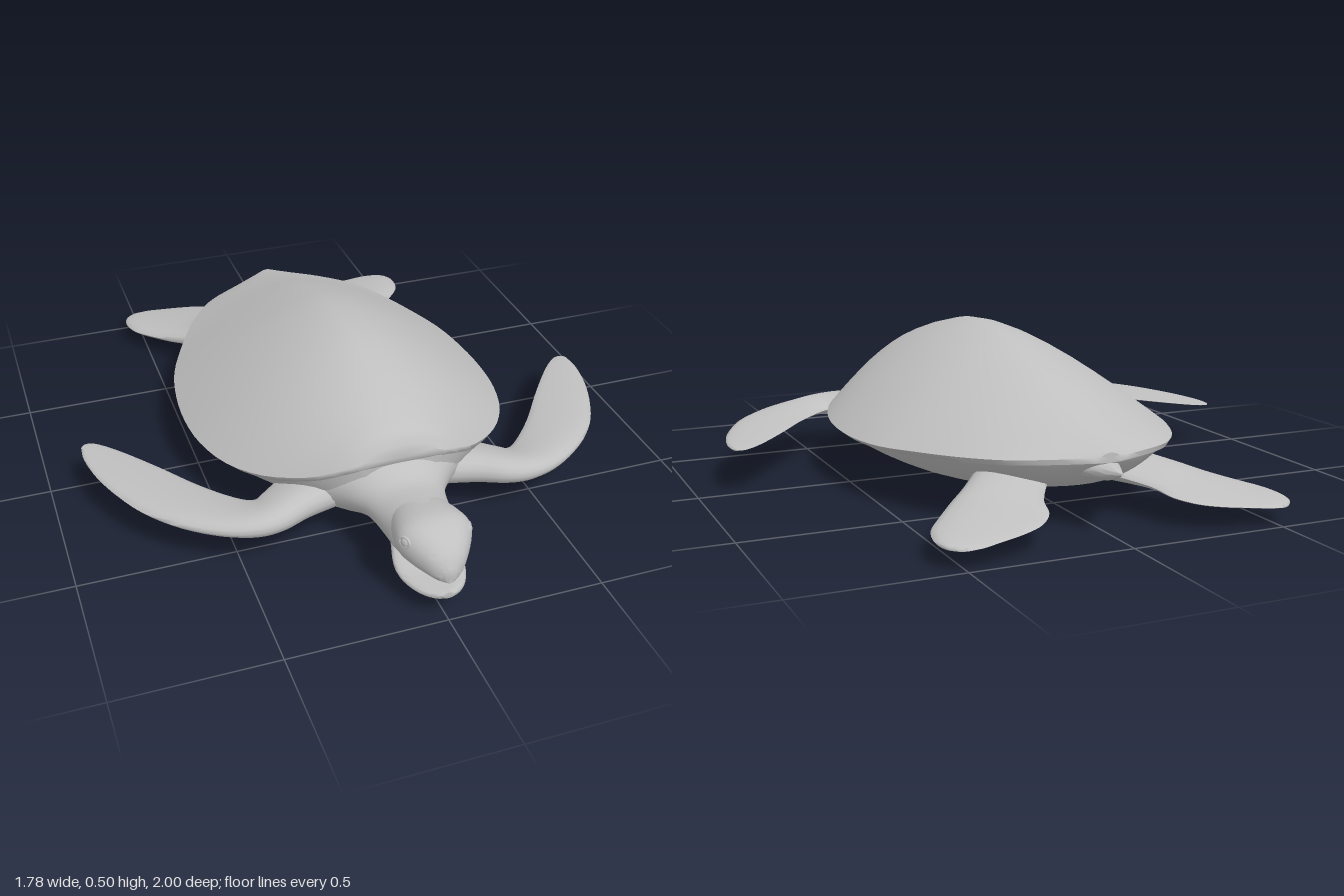
import * as THREE from 'three';
import { toCreasedNormals } from 'three/addons/utils/BufferGeometryUtils.js';

const grey = new THREE.MeshStandardMaterial({ color: 0xc0c0c0 });
grey.name = 'grey';

// Fill in rows between stations with a Catmull-Rom curve on every column
function densify(rows, steps) {
  const out = [];
  const last = rows.length - 1;
  for (let i = 0; i < last; i++) {
    const [a, b, c, d] = [rows[Math.max(i - 1, 0)], rows[i], rows[i + 1], rows[Math.min(i + 2, last)]];
    for (let s = 0; s < steps; s++) {
      const t = s / steps;
      out.push(b.map((p, k) => p + 0.5 * t * (c[k] - a[k]
        + t * (2 * a[k] - 5 * p + 4 * c[k] - d[k] + t * (3 * (p - c[k]) + d[k] - a[k])))));
    }
  }
  out.push(rows[last]);
  return out;
}

// Closed skin over equal-length rings of [x, y, z], capped and turned outward
function loft(rings, crease = 0.9) {
  const n = rings[0].length;
  const pos = rings.flat();
  const index = [];
  for (let r = 0; r < rings.length - 1; r++) {
    for (let i = 0; i < n; i++) {
      const a = r * n + i, b = r * n + (i + 1) % n;
      index.push(a, b, a + n, b, b + n, a + n);
    }
  }
  [0, rings.length - 1].forEach((r) => {
    const centre = pos.length;
    pos.push([0, 1, 2].map((k) => rings[r].reduce((sum, p) => sum + p[k], 0) / n));
    for (let i = 0; i < n; i++) {
      const a = r * n + i, b = r * n + (i + 1) % n;
      if (r === 0) index.push(centre, b, a);
      else index.push(centre, a, b);
    }
  });
  let volume = 0;
  const v = pos.map((p) => new THREE.Vector3(...p));
  for (let i = 0; i < index.length; i += 3) {
    volume += v[index[i]].dot(v[index[i + 1]].clone().cross(v[index[i + 2]]));
  }
  if (volume < 0) index.reverse();
  const geo = new THREE.BufferGeometry();
  geo.setAttribute('position', new THREE.Float32BufferAttribute(pos.flat(), 3));
  geo.setIndex(index);
  return toCreasedNormals(geo, crease);
}

function ring(count, fn) {
  return Array.from({ length: count }, (_, i) => fn((i / count) * Math.PI * 2));
}

// Rounded sections along z: [z, halfWidth, top, bottom]
function tubeLoft(rows, power = 0.85) {
  const bend = (c) => Math.sign(c) * Math.abs(c) ** power;
  return loft(densify(rows, 4).map(([z, w, top, bottom]) => ring(28, (t) => [
    w * bend(Math.cos(t)), (top + bottom) / 2 + ((top - bottom) / 2) * bend(Math.sin(t)), z])));
}

// Flat fin sections: [leadX, leadZ, trailX, trailZ, y, thickness]
function finLoft(rows, side) {
  return loft(densify(rows, 4).map(([lx, lz, tx, tz, y, th]) => ring(20, (t) => {
    const c = Math.cos(t);
    return [side * ((lx + tx) / 2 + c * (lx - tx) / 2),
      y + (th / 2) * Math.sin(t) * (1 + 0.45 * c), (lz + tz) / 2 + c * (lz - tz) / 2];
  })), 1.2);
}

// Shell stations: [z, halfWidth, rim, top, bottom, doming]
const SHELL = densify([
  [0.605, 0.13, 0.315, 0.345, 0.11, 2.4],
  [0.58, 0.2, 0.29, 0.385, 0.085, 2.3],
  [0.53, 0.28, 0.255, 0.412, 0.06, 2.1],
  [0.43, 0.39, 0.22, 0.447, 0.035, 1.9],
  [0.3, 0.475, 0.2, 0.482, 0.015, 1.7],
  [0.15, 0.522, 0.19, 0.506, 0.004, 1.55],
  [0, 0.537, 0.185, 0.505, 0.006, 1.5],
  [-0.15, 0.53, 0.185, 0.482, 0.015, 1.5],
  [-0.3, 0.502, 0.19, 0.44, 0.028, 1.5],
  [-0.45, 0.44, 0.2, 0.39, 0.05, 1.5],
  [-0.6, 0.362, 0.21, 0.33, 0.085, 1.55],
  [-0.72, 0.265, 0.218, 0.286, 0.12, 1.6],
  [-0.8, 0.135, 0.225, 0.26, 0.17, 1.7],
  [-0.855, 0.035, 0.232, 0.245, 0.21, 1.8],
], 3);

const FRONT_FIN = [
  [0.12, 0.53, 0.18, 0.3, 0.16, 0.11],
  [0.27, 0.57, 0.32, 0.38, 0.157, 0.09],
  [0.37, 0.612, 0.4, 0.44, 0.155, 0.075],
  [0.46, 0.618, 0.43, 0.455, 0.152, 0.065],
  [0.56, 0.585, 0.48, 0.42, 0.15, 0.052],
  [0.67, 0.51, 0.57, 0.32, 0.15, 0.042],
  [0.76, 0.41, 0.66, 0.195, 0.15, 0.032],
  [0.82, 0.3, 0.74, 0.09, 0.15, 0.024],
  [0.865, 0.18, 0.8, 0.02, 0.15, 0.016],
  [0.887, 0.07, 0.845, -0.018, 0.15, 0.01],
  [0.885, 0, 0.872, -0.02, 0.15, 0.005],
];

const HIND_FIN = [
  [0.25, -0.48, 0.1, -0.66, 0.125, 0.1],
  [0.36, -0.62, 0.175, -0.785, 0.108, 0.075],
  [0.43, -0.69, 0.2, -0.87, 0.094, 0.054],
  [0.49, -0.76, 0.25, -0.93, 0.083, 0.042],
  [0.54, -0.83, 0.32, -0.963, 0.075, 0.032],
  [0.56, -0.9, 0.4, -0.985, 0.069, 0.024],
  [0.553, -0.955, 0.45, -0.998, 0.065, 0.016],
  [0.525, -0.988, 0.485, -1, 0.063, 0.006],
];

export function createModel() {
  const model = new THREE.Group();
  model.name = 'seaTurtle';
  const add = (name, geo, parent = model) => {
    const mesh = new THREE.Mesh(geo, grey);
    mesh.name = name;
    parent.add(mesh);
    return mesh;
  };

  // Domed upper shell with a thin overhanging rim
  add('carapace', loft(SHELL.map(([z, w, rim, top, , e]) => ring(48, (t) => {
    const u = Math.cos(t);
    return Math.sin(t) >= -1e-6
      ? [w * u, rim + (top - rim) * (1 - Math.abs(u) ** e), z]
      : [w * u * 0.97, rim - 0.016, z];
  }))));

  // Rounded belly tucked under the rim
  add('belly', loft(SHELL.map(([z, w, rim, , bottom]) => ring(48, (t) => {
    const u = Math.cos(t);
    const rise = Math.sin(t) > 0 ? 0.01 : bottom - rim;
    return [w * u * 0.97, rim - 0.004 + (rise + 0.004) * (1 - Math.abs(u) ** 2.3), z * 0.995];
  }))));

  // Neck, skull with beak, and open lower jaw
  add('neck', tubeLoft([
    [0.42, 0.3, 0.3, 0.045], [0.52, 0.235, 0.325, 0.065], [0.58, 0.18, 0.315, 0.088],
    [0.63, 0.138, 0.28, 0.1], [0.68, 0.12, 0.265, 0.1], [0.75, 0.108, 0.27, 0.09],
    [0.8, 0.1, 0.275, 0.085], [0.83, 0.06, 0.25, 0.1],
  ], 1));
  add('skull', tubeLoft([
    [0.74, 0.09, 0.265, 0.12], [0.82, 0.11, 0.282, 0.135], [0.87, 0.115, 0.286, 0.14],
    [0.91, 0.1, 0.276, 0.138], [0.95, 0.073, 0.251, 0.138], [0.98, 0.047, 0.222, 0.138],
    [1, 0.015, 0.185, 0.142],
  ]));
  add('lowerJaw', tubeLoft([
    [0.74, 0.085, 0.15, 0.095], [0.82, 0.105, 0.118, 0.075], [0.88, 0.1, 0.103, 0.067],
    [0.94, 0.075, 0.1, 0.066], [0.975, 0.045, 0.1, 0.07], [0.992, 0.015, 0.1, 0.08],
  ]));

  // Tail cone under the rear of the shell
  add('tail', tubeLoft([
    [-0.68, 0.12, 0.225, 0.13], [-0.78, 0.07, 0.222, 0.15],
    [-0.86, 0.034, 0.212, 0.165], [-0.922, 0.004, 0.2, 0.192],
  ], 1));

  for (const side of [1, -1]) {
    const label = side > 0 ? 'left' : 'right';
    add(label + 'FrontFlipper', finLoft(FRONT_FIN, side));
    add(label + 'HindFlipper', finLoft(HIND_FIN, side));

    // Eye with a raised lid ring
    const eye = new THREE.Group();
    eye.name = label + 'Eye';
    add('eyeball', new THREE.SphereGeometry(0.015, 16, 12), eye).scale.z = 0.6;
    add('eyelid', new THREE.TorusGeometry(0.019, 0.006, 8, 24), eye).scale.y = 0.75;
    eye.position.set(side * 0.1, 0.234, 0.89);
    eye.lookAt(side * 1.1, 0.45, 1.35);
    model.add(eye);

    // Nostril rim on the beak
    add(label + 'Nostril', new THREE.TorusGeometry(0.004, 0.0015, 6, 12))
      .position.set(side * 0.012, 0.212, 0.982);
  }
  return model;
}
